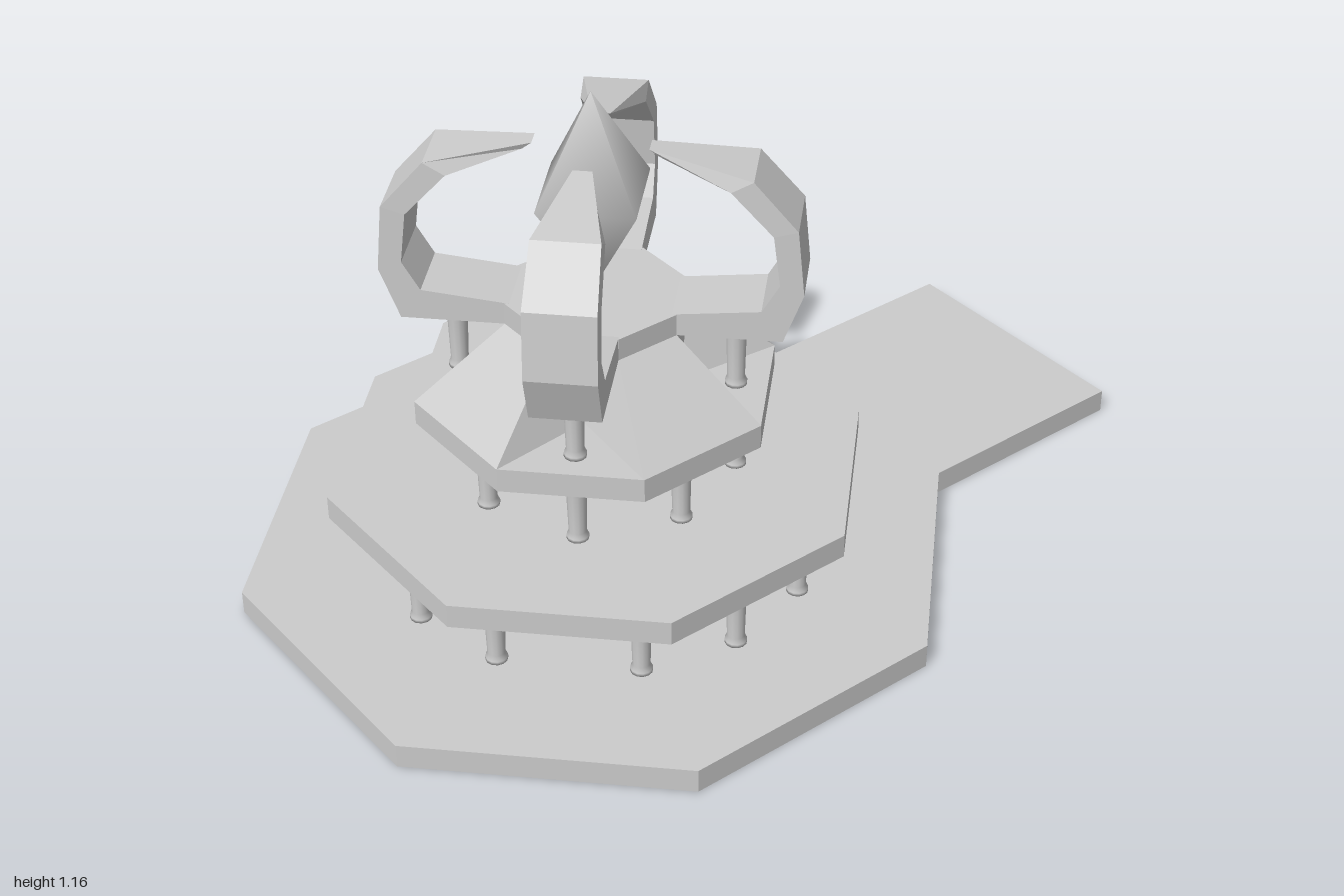
import * as THREE from 'three';

const CZ = 0.266; // z of the temple's axis
const material = new THREE.MeshStandardMaterial({ color: 0xcccccc, side: THREE.DoubleSide });
const flat = new THREE.MeshStandardMaterial({ color: 0xcccccc, flatShading: true, side: THREE.DoubleSide });

function add(parent, name, geometry, mat = flat) {
  const mesh = new THREE.Mesh(geometry, mat);
  mesh.name = name;
  parent.add(mesh);
  return mesh;
}

// Octagonal slab with flat sides facing the axes
function slab(apothem, y0, y1) {
  const r = apothem / Math.cos(Math.PI / 8);
  return new THREE.CylinderGeometry(r, r, y1 - y0, 8, 1, false, Math.PI / 8)
    .translate(0, (y0 + y1) / 2, 0);
}

// Turned column with flared foot and capital
function column(x, z, y0, y1) {
  const h = y1 - y0;
  const profile = [[0, 0], [0.024, 0], [0.024, 0.05], [0.019, 0.12], [0.022, 0.8], [0.027, 0.93], [0.027, 1], [0, 1]]
    .map(([r, t]) => new THREE.Vector2(r, y0 + t * h));
  return new THREE.LatheGeometry(profile, 12).translate(x, 0, z);
}

// Non-indexed geometry from quads and triangles given as corner points
function faces(list) {
  const pos = [];
  for (const f of list) {
    for (let i = 1; i < f.length - 1; i++) pos.push(...f[0], ...f[i], ...f[i + 1]);
  }
  const g = new THREE.BufferGeometry();
  g.setAttribute('position', new THREE.Float32BufferAttribute(pos, 3));
  g.computeVertexNormals();
  return g;
}

// One quarter of the roof: sloping front face and the recessed corner beside it
function roofQuarter() {
  const a0 = [-0.152, 0.48, 0.365], a1 = [0.152, 0.48, 0.365];
  const b0 = [-0.075, 0.64, 0.18], b1 = [0.075, 0.64, 0.18];
  const a2 = [0.365, 0.48, 0.152], b2 = [0.18, 0.64, 0.075];
  const p = [0.13, 0.48, 0.13];
  return faces([[a0, a1, b1, b0], [a1, p, b1], [p, b2, b1], [p, a2, b2]]);
}

// Curved claw along +z, lofted from rectangular sections
function claw() {
  // outer radius, outer y, inner radius, inner y, half width
  const sections = [
    [0.17, 0.64, 0.17, 0.69, 0.074],
    [0.40, 0.64, 0.355, 0.71, 0.074],
    [0.442, 0.755, 0.392, 0.775, 0.074],
    [0.428, 0.905, 0.378, 0.89, 0.074],
    [0.336, 1.012, 0.29, 0.985, 0.07],
    [0.12, 1.045, 0.14, 1.03, 0.02],
  ].map(([ro, yo, ri, yi, w]) => [[-w, yo, ro], [w, yo, ro], [w, yi, ri], [-w, yi, ri]]);
  const list = [];
  for (let i = 0; i < sections.length - 1; i++) {
    const s = sections[i], t = sections[i + 1];
    for (let k = 0; k < 4; k++) {
      const n = (k + 1) % 4;
      list.push([s[k], s[n], t[n], t[k]]);
    }
  }
  list.push(sections[sections.length - 1]);
  return faces(list);
}

export function createModel() {
  const model = new THREE.Group();
  model.name = 'crystalTemple';

  // Ground platform with a walkway to the back
  const A = 0.735, S = 0.305, back = 1 + CZ;
  const outline = [[S, -A], [A, -S], [A, S], [S, A], [S, back], [-S, back], [-S, A], [-A, S], [-A, -S], [-S, -A]]
    .map(([x, y]) => new THREE.Vector2(x, y));
  const temple = new THREE.Group();
  temple.name = 'temple';
  temple.position.z = CZ;
  model.add(temple);
  add(temple, 'platform', new THREE.ExtrudeGeometry(new THREE.Shape(outline), { depth: 0.055, bevelEnabled: false })
    .rotateX(-Math.PI / 2));

  // Upper floors and the hub that joins the claws
  add(temple, 'middleFloor', slab(0.55, 0.215, 0.27));
  add(temple, 'upperFloor', slab(0.365, 0.425, 0.48));
  add(temple, 'hub', slab(0.18, 0.64, 0.69));

  // Columns, roof quarters and claws repeat four times around the axis
  const columnSpots = [
    ['lowerColumn', 0, 0.475, 0.055, 0.215],
    ['lowerColumn', 0.21, 0.425, 0.055, 0.215],
    ['lowerColumn', -0.21, 0.425, 0.055, 0.215],
    ['lowerColumn', 0.21, 0.21, 0.055, 0.215],
    ['middleColumn', 0, 0.29, 0.27, 0.425],
    ['middleColumn', 0.21, 0.21, 0.27, 0.425],
    ['clawColumn', 0.21, 0.21, 0.48, 0.645],
  ];
  for (let q = 0; q < 4; q++) {
    const quarter = new THREE.Group();
    quarter.name = 'quarter';
    quarter.rotation.y = q * Math.PI / 2;
    temple.add(quarter);
    for (const [name, x, z, y0, y1] of columnSpots) add(quarter, name, column(x, z, y0, y1), material);
    add(quarter, 'roof', roofQuarter());
    add(quarter, 'claw', claw()).rotation.y = Math.PI / 4;
  }

  // Floating four-sided crystal with soft shading
  const tips = [[0, 0.703], [0.147, 0.93], [0, 1.16]].map(([r, y]) => new THREE.Vector2(r, y));
  add(temple, 'crystal', new THREE.LatheGeometry(tips, 4), material);

  return model;
}
